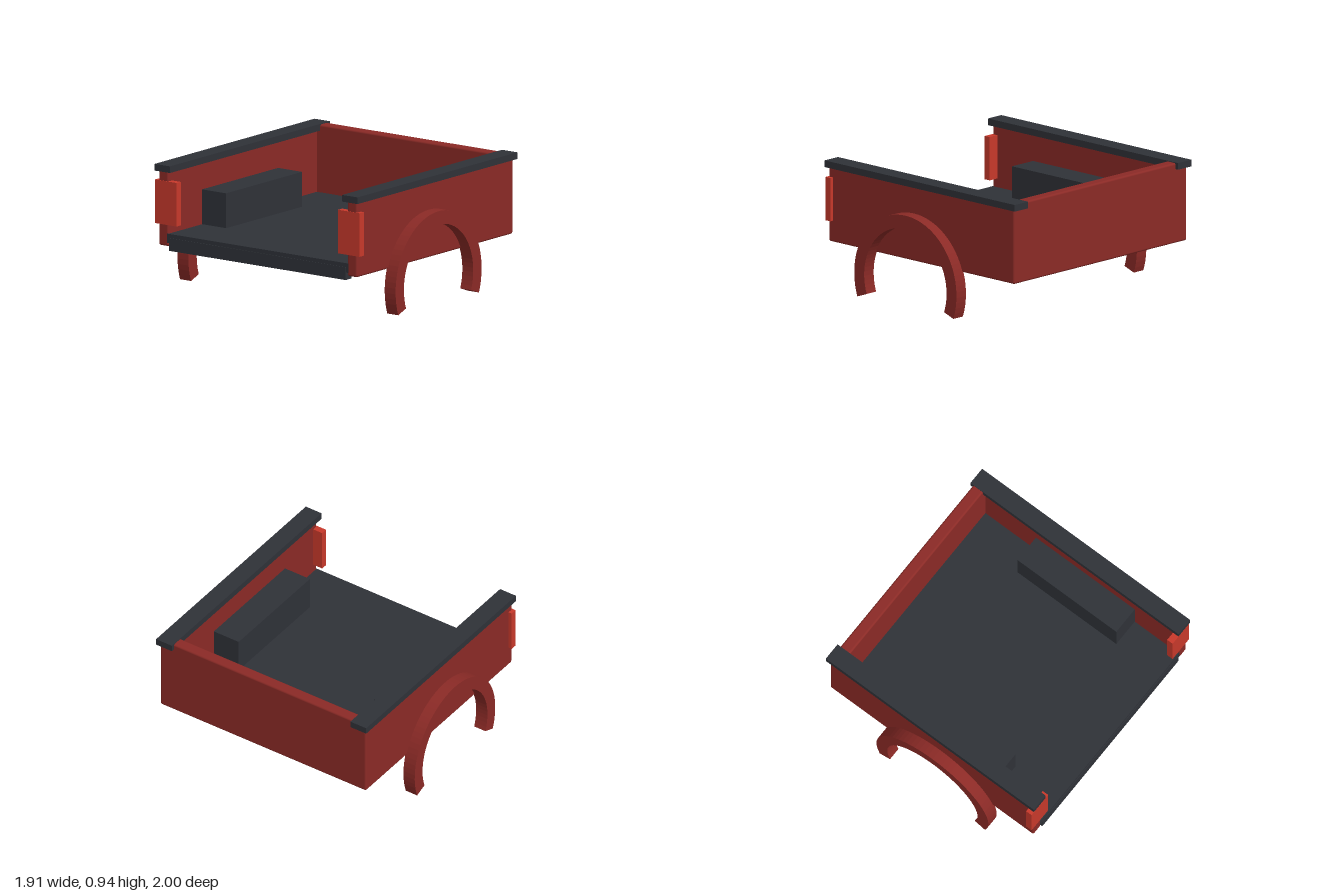
import * as THREE from 'three';
import { RoundedBoxGeometry } from 'three/addons/geometries/RoundedBoxGeometry.js';

const paint = new THREE.MeshStandardMaterial({ color: 0x8b2a26 });
const trim = new THREE.MeshStandardMaterial({ color: 0x2f3238 });
const lamp = new THREE.MeshStandardMaterial({ color: 0xc8392b });

// Box given by its limits on each axis; radius > 0 rounds the edges
function block(name, material, [x0, x1], [y0, y1], [z0, z1], radius = 0) {
  const size = [x1 - x0, y1 - y0, z1 - z0];
  const geometry = radius
    ? new RoundedBoxGeometry(...size, 3, radius)
    : new THREE.BoxGeometry(...size);
  const mesh = new THREE.Mesh(geometry, material);
  mesh.name = name;
  mesh.position.set((x0 + x1) / 2, (y0 + y1) / 2, (z0 + z1) / 2);
  return mesh;
}

// Limits on z for one side of the bed (1 or -1)
const span = (side, inner, outer) => (side > 0 ? [inner, outer] : [-outer, -inner]);

// Flat ring segment that reaches 20 degrees below the axle line
function wheelArch(side) {
  const drop = THREE.MathUtils.degToRad(20);
  const shape = new THREE.Shape();
  shape.absarc(0, 0, 0.515, -drop, Math.PI + drop, false);
  shape.absarc(0, 0, 0.415, Math.PI + drop, -drop, true);
  shape.closePath();
  const geometry = new THREE.ExtrudeGeometry(shape, {
    depth: 0.1, bevelEnabled: false, curveSegments: 24,
  });
  const mesh = new THREE.Mesh(geometry, paint);
  mesh.name = 'wheelArch';
  mesh.position.set(-0.08, 0.177, side > 0 ? 0.9 : -1);
  return mesh;
}

export function createModel() {
  const bed = new THREE.Group();
  bed.name = 'cargoBed';

  // Floor, end wall and the sill across the open end
  bed.add(
    block('floor', trim, [-0.94, 0.85], [0.36, 0.43], [-0.83, 0.83]),
    block('endWall', paint, [0.84, 0.93], [0.335, 0.935], [-0.91, 0.91], 0.015),
    block('rearSill', trim, [-0.945, -0.873], [0.305, 0.4], [-0.81, 0.81]),
  );

  // Parts repeated on both sides
  for (const side of [1, -1]) {
    bed.add(
      block('sideWall', paint, [-0.94, 0.93], [0.335, 0.925], span(side, 0.82, 0.91), 0.015),
      block('topRail', trim, [-0.96, 0.955], [0.89, 0.94], span(side, 0.79, 0.93)),
      block('wheelBox', trim, [-0.535, 0.375], [0.42, 0.69], span(side, 0.6, 0.83)),
      block('tailLamp', lamp, [-0.945, -0.895], [0.495, 0.82], span(side, 0.74, 0.938)),
      wheelArch(side),
    );
  }
  return bed;
}
